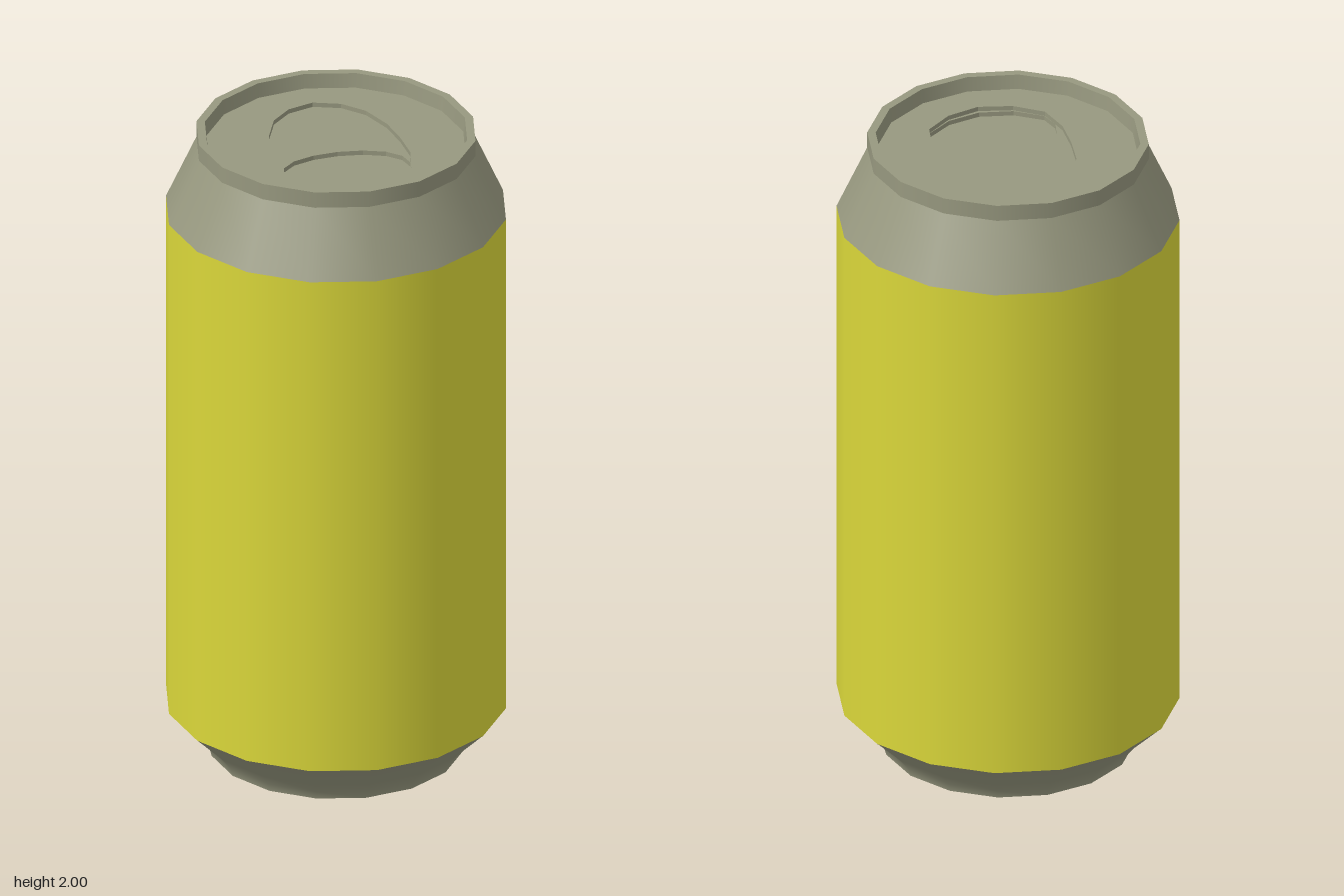
import * as THREE from 'three';

const SIDES = 16;

export function createModel() {
  const metal = new THREE.MeshStandardMaterial({ color: 0x97987f });
  metal.name = 'bareMetal';
  const paint = new THREE.MeshStandardMaterial({ color: 0xdad73a });
  paint.name = 'yellowPaint';

  const can = new THREE.Group();
  can.name = 'drinkCan';

  const add = (name, geometry, material) => {
    const mesh = new THREE.Mesh(geometry, material);
    mesh.name = name;
    can.add(mesh);
    return mesh;
  };
  // One smooth band of the can; separate bands keep crisp edges between them
  const band = (name, profile, material = metal) =>
    add(name, new THREE.LatheGeometry(profile.map(([r, y]) => new THREE.Vector2(r, y)), SIDES), material);

  // Underside and foot
  band('bottomDome', [[0, 0.11], [0.13, 0.1], [0.25, 0.065], [0.32, 0.03], [0.355, 0]]);
  band('footRing', [[0.355, 0], [0.378, 0]]);
  band('foot', [[0.378, 0], [0.385, 0.025], [0.418, 0.065], [0.5, 0.145]]);
  band('bodyLip', [[0.5, 0.145], [0.508, 0.152]]);

  // Painted body
  band('body', [[0.508, 0.152], [0.508, 1.75]], paint);

  // Neck, collar and rim
  band('neck', [[0.508, 1.75], [0.417, 1.95]]);
  band('collar', [[0.417, 1.95], [0.417, 2]]);
  band('rimTop', [[0.417, 2], [0.392, 2]]);
  band('rimInside', [[0.392, 2], [0.387, 1.955]]);

  // Mirrors a half outline of [x, z] points, listed from back to front
  const mirrored = (half) => [
    ...half,
    ...half.slice(1, -1).reverse().map(([x, z]) => [-x, z]),
  ].map(([x, z]) => new THREE.Vector2(x, -z));

  const recess = mirrored([[0, -0.29], [0.08, -0.262], [0.14, -0.2], [0.18, -0.1],
    [0.196, 0], [0.202, 0.1], [0.18, 0.2], [0.1, 0.262], [0, 0.288]]);
  const mouth = mirrored([[0, 0.02], [0.075, 0.028], [0.14, 0.052], [0.18, 0.09],
    [0.193, 0.14], [0.178, 0.2], [0.1, 0.256], [0, 0.278]]);
  const disc = (r) => Array.from({ length: SIDES }, (_, i) => {
    const a = (i / SIDES) * Math.PI * 2;
    return new THREE.Vector2(Math.cos(a) * r, Math.sin(a) * r);
  });

  // Flat layer of the lid with its upper face at the given height
  const layer = (name, outline, hole, top) => {
    const shape = new THREE.Shape(outline);
    if (hole) shape.holes.push(new THREE.Path(hole));
    const depth = 0.014;
    const geometry = new THREE.ExtrudeGeometry(shape, { depth, bevelEnabled: false });
    geometry.rotateX(-Math.PI / 2).translate(0, top - depth, 0);
    add(name, geometry, metal);
  };
  layer('lid', disc(0.387), recess, 1.955);
  layer('lidRecess', disc(0.31), mouth, 1.941);
  layer('mouthPanel', disc(0.31), null, 1.927);

  // The can is very slightly oval
  can.scale.set(0.995, 1, 1.01);
  return can;
}
